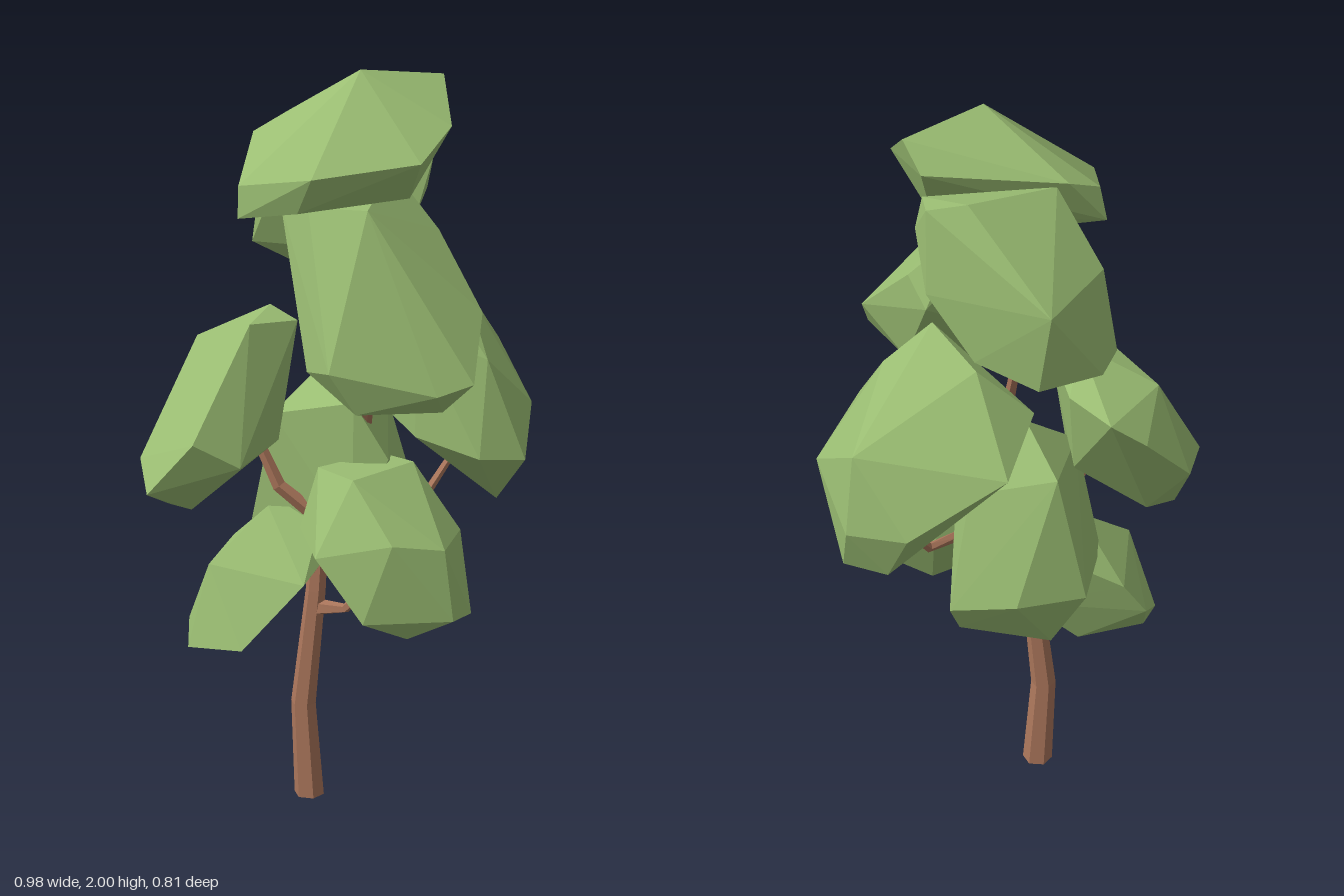
import * as THREE from 'three';
import { ConvexGeometry } from 'three/addons/geometries/ConvexGeometry.js';

const bark = new THREE.MeshStandardMaterial({ color: 0xac775c });
bark.name = 'bark';
const leaf = new THREE.MeshStandardMaterial({ color: 0x9bbe73 });
leaf.name = 'leaf';

// Faceted, tapering limb through path points [x, y, z, radius]
function limb(name, path, sides = 6) {
  const up = new THREE.Vector3(0, 1, 0);
  const pts = path.map(([x, y, z]) => new THREE.Vector3(x, y, z));
  const rings = pts.map((p, i) => {
    const dir = pts[Math.min(i + 1, pts.length - 1)].clone().sub(pts[Math.max(i - 1, 0)]).normalize();
    if (p.y === 0) dir.copy(up); // flat foot on the ground
    const turn = new THREE.Quaternion().setFromUnitVectors(up, dir);
    return Array.from({ length: sides }, (_, k) => {
      const a = (k / sides) * Math.PI * 2 + Math.PI / 2;
      return new THREE.Vector3(Math.sin(a), 0, Math.cos(a)).multiplyScalar(path[i][3]).applyQuaternion(turn).add(p);
    });
  });
  const tris = [];
  const last = rings.length - 1;
  for (let k = 0; k < sides; k++) {
    const n = (k + 1) % sides;
    for (let i = 0; i < last; i++) {
      const a = rings[i][k], b = rings[i][n], c = rings[i + 1][n], d = rings[i + 1][k];
      tris.push(a, b, c, a, c, d);
    }
    tris.push(pts[0], rings[0][n], rings[0][k], pts[last], rings[last][k], rings[last][n]);
  }
  const geo = new THREE.BufferGeometry().setFromPoints(tris);
  geo.computeVertexNormals();
  const mesh = new THREE.Mesh(geo, bark);
  mesh.name = name;
  return mesh;
}

// Faceted leaf clump: the convex hull of a few corner points
function clump(name, corners) {
  const mesh = new THREE.Mesh(new ConvexGeometry(corners.map((c) => new THREE.Vector3(...c))), leaf);
  mesh.name = name;
  return mesh;
}

export function createModel() {
  const tree = new THREE.Group();
  tree.name = 'tree';

  // Trunk and branches
  tree.add(
    limb('trunk', [[-0.075, 0, 0.027, 0.041], [-0.09, 0.27, 0.027, 0.034], [-0.055, 0.6, 0.027, 0.027],
      [-0.045, 0.78, 0.02, 0.025], [0.07, 1.07, 0, 0.02], [0.085, 1.13, 0.04, 0.018], [0.14, 1.28, 0.06, 0.013]]),
    limb('lowerRightBranch', [[-0.055, 0.55, 0.03, 0.024], [0.03, 0.56, 0.045, 0.013], [0.11, 0.65, 0.08, 0.01]], 5),
    limb('leftBranch', [[-0.045, 0.8, 0.02, 0.022], [-0.15, 0.89, 0.04, 0.019], [-0.21, 1.02, 0.04, 0.014]], 5),
    limb('backRightBranch', [[-0.045, 0.78, 0.02, 0.018], [0.14, 0.81, -0.07, 0.015],
      [0.2, 0.82, -0.14, 0.013], [0.26, 0.92, -0.2, 0.01]], 5),
    limb('upperBackBranch', [[0.04, 1.0, 0, 0.02], [0.01, 1.15, 0, 0.017], [-0.015, 1.3, -0.05, 0.014], [-0.01, 1.48, -0.15, 0.01]], 5),
  );

  // Leaf clumps, from the top down
  tree.add(clump('topClump', [
    [0.07, 2.0, 0.06], [0.25, 1.97, -0.09], [0.2, 1.9, -0.14], [0.3, 1.87, 0.06], [0.25, 1.8, 0.19],
    [0.21, 1.7, 0.13], [0, 1.77, 0.29], [-0.04, 1.68, 0.27], [-0.19, 1.66, 0.27], [-0.19, 1.74, 0.26],
    [-0.24, 1.74, -0.02], [-0.22, 1.82, 0], [-0.15, 1.86, -0.07], [0.02, 1.66, 0.05], [0.19, 1.74, -0.03]]));
  tree.add(clump('upperBackClump', [
    [0.18, 1.85, -0.22], [0.08, 1.87, -0.22], [-0.12, 1.85, -0.07], [0.2, 1.84, -0.13], [0.22, 1.75, -0.12],
    [0.18, 1.64, -0.25], [0.06, 1.48, -0.29], [-0.1, 1.43, -0.33], [-0.25, 1.45, -0.27], [-0.28, 1.48, -0.2],
    [-0.13, 1.64, -0.345], [-0.06, 1.38, -0.22], [-0.24, 1.67, -0.14], [-0.18, 1.68, -0.07], [0.18, 1.6, -0.1],
    [0, 1.5, -0.1]]));
  tree.add(clump('upperFrontClump', [
    [0.12, 1.72, -0.09], [0.02, 1.71, -0.07], [-0.13, 1.66, 0.08], [-0.03, 1.68, 0.2], [0.12, 1.68, 0.2],
    [0.25, 1.58, -0.05], [0.2, 1.51, -0.1], [0.39, 1.41, 0.09], [0.4, 1.27, 0.25], [0.32, 1.25, 0.31],
    [0.32, 1.19, 0.24], [0.13, 1.21, 0.37], [0.07, 1.32, 0.405], [-0.01, 1.29, 0.3], [0, 1.38, 0.03],
    [0.15, 1.2, 0.11], [0.27, 1.3, 0.02]]));
  tree.add(clump('leftClump', [
    [-0.47, 1.05, -0.08], [-0.49, 0.98, 0.16], [-0.43, 0.84, 0.11], [-0.44, 0.92, 0.27], [-0.31, 1.07, 0.29],
    [-0.36, 0.84, 0.14], [-0.2, 1.0, 0.24], [-0.14, 1.03, 0.08], [-0.1, 1.34, 0.03], [-0.18, 1.37, 0],
    [-0.2, 1.35, 0.13], [-0.38, 1.27, -0.01], [-0.27, 1.25, -0.19], [-0.16, 1.28, -0.11], [-0.36, 1.18, -0.16],
    [-0.17, 1.04, -0.06], [-0.36, 0.9, -0.02]]));
  tree.add(clump('rightBackClump', [
    [-0.08, 1.3, -0.22], [-0.03, 1.2, -0.385], [0.22, 1.02, -0.41], [0.38, 1.0, -0.36], [0.36, 1.22, -0.34],
    [0.48, 1.1, -0.17], [0.485, 0.98, -0.05], [0.39, 0.82, -0.18], [0.4, 0.87, -0.3], [0.28, 0.87, -0.34],
    [0.38, 1.24, -0.06], [0.38, 1.0, 0.035], [0.2, 0.95, -0.25], [0.18, 1.5, -0.14], [0.06, 1.43, -0.25],
    [0.3, 1.4, -0.17], [0.2, 1.32, -0.02], [0.06, 1.13, -0.08], [0.2, 1.03, -0.02]]));
  tree.add(clump('lowerBackClump', [
    [-0.05, 1.2, -0.1], [0.05, 1.13, 0.04], [-0.17, 1.08, 0.02], [-0.24, 0.75, 0], [-0.22, 0.78, -0.27],
    [-0.13, 0.63, -0.26], [0.1, 0.71, -0.33], [0.12, 0.79, -0.37], [-0.05, 0.8, -0.36], [0.14, 0.98, 0.03],
    [0.05, 0.78, 0.06], [-0.14, 1.1, -0.22], [0.08, 1.06, -0.24]]));
  tree.add(clump('lowerFrontClump', [
    [-0.03, 0.97, 0.1], [0.2, 0.97, 0], [0.08, 0.97, 0.18], [0.1, 0.97, -0.05], [0, 0.78, 0.26],
    [-0.08, 0.8, 0.1], [0.33, 0.8, 0.02], [0.32, 0.8, 0.18], [0.38, 0.61, 0.12], [0.35, 0.62, 0.21],
    [0.23, 0.56, 0.21], [0.13, 0.62, 0.285], [0.22, 0.57, 0.08], [0.06, 0.67, 0.08], [0, 0.75, -0.02],
    [0.2, 0.83, 0.26], [0.2, 0.76, -0.03]]));
  tree.add(clump('lowerLeftClump', [
    [-0.39, 0.51, 0.08], [-0.36, 0.455, 0.07], [-0.37, 0.6, -0.07], [-0.35, 0.49, 0.23], [-0.2, 0.5, 0.25],
    [-0.19, 0.51, -0.08], [-0.05, 0.65, -0.13], [-0.01, 0.72, 0.05], [-0.04, 0.82, 0], [-0.18, 0.83, 0.04],
    [-0.31, 0.7, 0.16], [-0.31, 0.69, -0.09], [-0.05, 0.67, 0.18], [-0.18, 0.77, -0.12]]));
  return tree;
}
